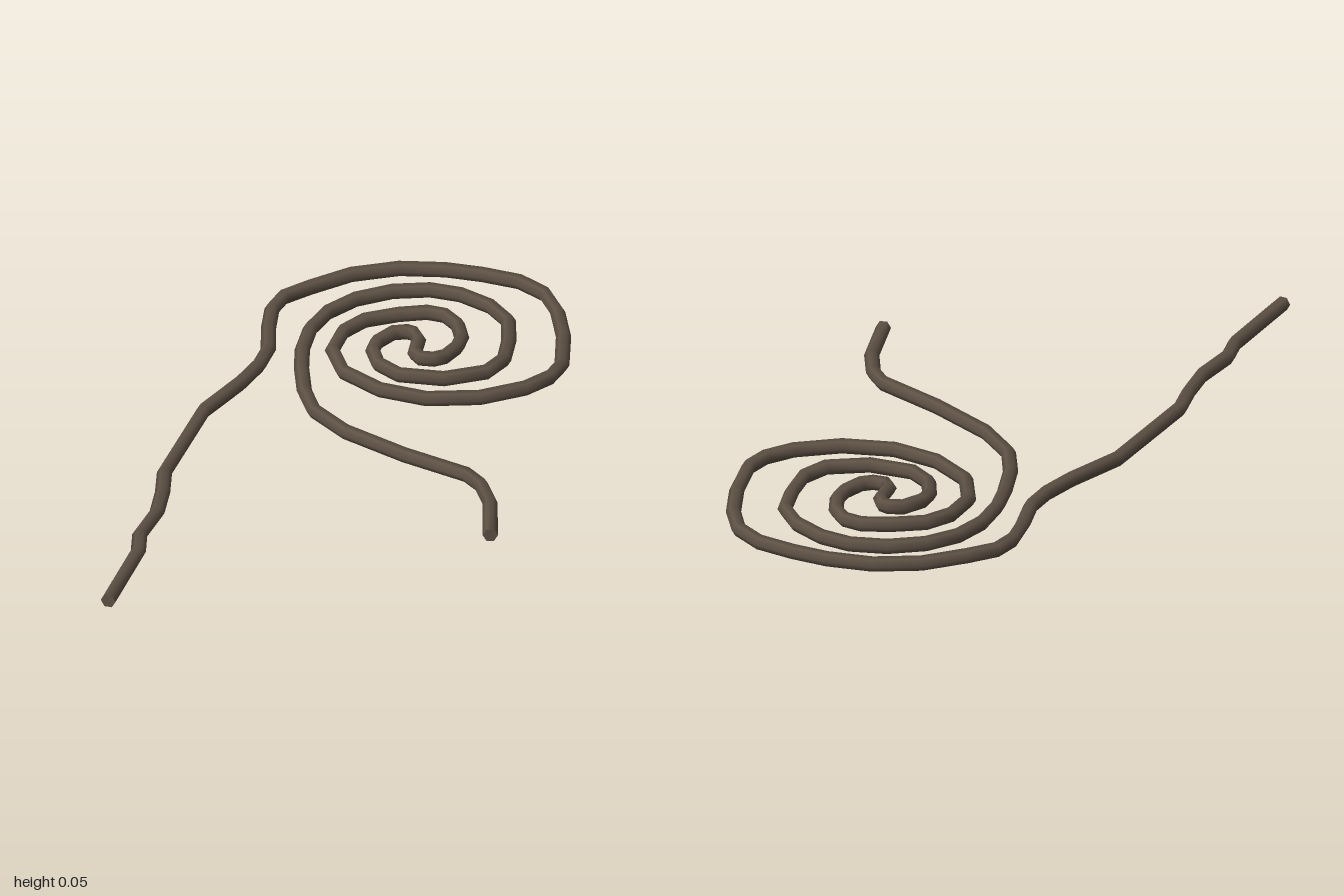
import * as THREE from 'three';

const SIDES = 6;
const RADIUS = 0.0215;

// Rope centreline as x, z pairs: long tail, coil inwards, S-turn, coil outwards, short tail
const PATH = [
  -0.47, 0.99, -0.453, 0.707, -0.47, 0.622, -0.453, 0.49, -0.464, 0.38, -0.484, 0.278,
  -0.458, -0.077, -0.395, -0.246, -0.368, -0.352, -0.363, -0.442, -0.39, -0.553, -0.405, -0.654,
  -0.39, -0.728, -0.331, -0.797, -0.236, -0.892, -0.114, -0.956, 0.013, -0.98, 0.12, -0.98,
  0.23, -0.967, 0.315, -0.919, 0.374, -0.829, 0.421, -0.707, 0.453, -0.559, 0.437, -0.485,
  0.384, -0.411, 0.273, -0.331, 0.13, -0.289, -0.008, -0.305, -0.13, -0.374, -0.188, -0.48,
  -0.183, -0.586, -0.14, -0.66, -0.056, -0.713, 0.019, -0.744, 0.072, -0.739, 0.119, -0.697,
  0.146, -0.633, 0.146, -0.58, 0.125, -0.522, 0.098, -0.5, 0.061, -0.496, 0.04, -0.517,
  0.034, -0.586, 0.013, -0.617, -0.008, -0.622, -0.045, -0.607, -0.077, -0.548, -0.077, -0.501,
  -0.045, -0.437, 0.024, -0.395, 0.151, -0.405, 0.257, -0.469, 0.289, -0.548, 0.278, -0.649,
  0.252, -0.75, 0.183, -0.819, 0.087, -0.861, -0.003, -0.867, -0.103, -0.835, -0.193, -0.771,
  -0.252, -0.686, -0.278, -0.586, -0.273, -0.474, -0.252, -0.379, -0.215, -0.262, -0.162, -0.162,
  -0.05, -0.072, 0.14, 0.012, 0.336, 0.076, 0.389, 0.124, 0.437, 0.215, 0.48, 0.384,
];

const bump = (i, centre, width) => Math.exp(-(((i - centre) / width) ** 2));

// Hexagonal tube swept along the points, with flat end caps
function ropeGeometry(points) {
  const up = new THREE.Vector3(0, 1, 0);
  const last = points.length - 1;
  const positions = [];
  const indices = [];

  const addRing = (i) => {
    const into = points[i].clone().sub(points[Math.max(i - 1, 0)]).setY(0).normalize();
    const out = points[Math.min(i + 1, last)].clone().sub(points[i]).setY(0).normalize();
    const side = into.add(out).normalize().cross(up);
    for (let k = 0; k < SIDES; k++) {
      const a = (k / SIDES) * Math.PI * 2;
      const p = points[i].clone()
        .addScaledVector(side, Math.cos(a) * RADIUS)
        .addScaledVector(up, Math.sin(a) * RADIUS);
      positions.push(p.x, p.y, p.z);
    }
  };

  // Walls
  for (let i = 0; i <= last; i++) addRing(i);
  for (let i = 0; i < last; i++) {
    for (let k = 0; k < SIDES; k++) {
      const a = i * SIDES + k;
      const b = i * SIDES + ((k + 1) % SIDES);
      indices.push(a, a + SIDES, b, b, a + SIDES, b + SIDES);
    }
  }

  // Caps, on their own vertices so the rims stay sharp
  for (const end of [0, last]) {
    const base = positions.length / 3;
    addRing(end);
    for (let k = 1; k < SIDES - 1; k++) {
      if (end === 0) indices.push(base, base + k, base + k + 1);
      else indices.push(base, base + k + 1, base + k);
    }
  }

  const geometry = new THREE.BufferGeometry();
  geometry.setAttribute('position', new THREE.Float32BufferAttribute(positions, 3));
  geometry.setIndex(indices);
  geometry.computeVertexNormals();
  return geometry;
}

export function createModel() {
  const group = new THREE.Group();
  group.name = 'coiledRope';

  const ropeBrown = new THREE.MeshStandardMaterial({ color: 0x5e5145 });
  ropeBrown.name = 'ropeBrown';

  // The rope lifts slightly at the coil's centre and sags where it leaves the coil
  const points = [];
  for (let i = 0; i < PATH.length / 2; i++) {
    const y = 0.0262 + 0.004 * bump(i, 44, 4) - 0.0075 * bump(i, 64, 6);
    points.push(new THREE.Vector3(PATH[2 * i], y, PATH[2 * i + 1]));
  }

  const rope = new THREE.Mesh(ropeGeometry(points), ropeBrown);
  rope.name = 'rope';
  group.add(rope);
  return group;
}
